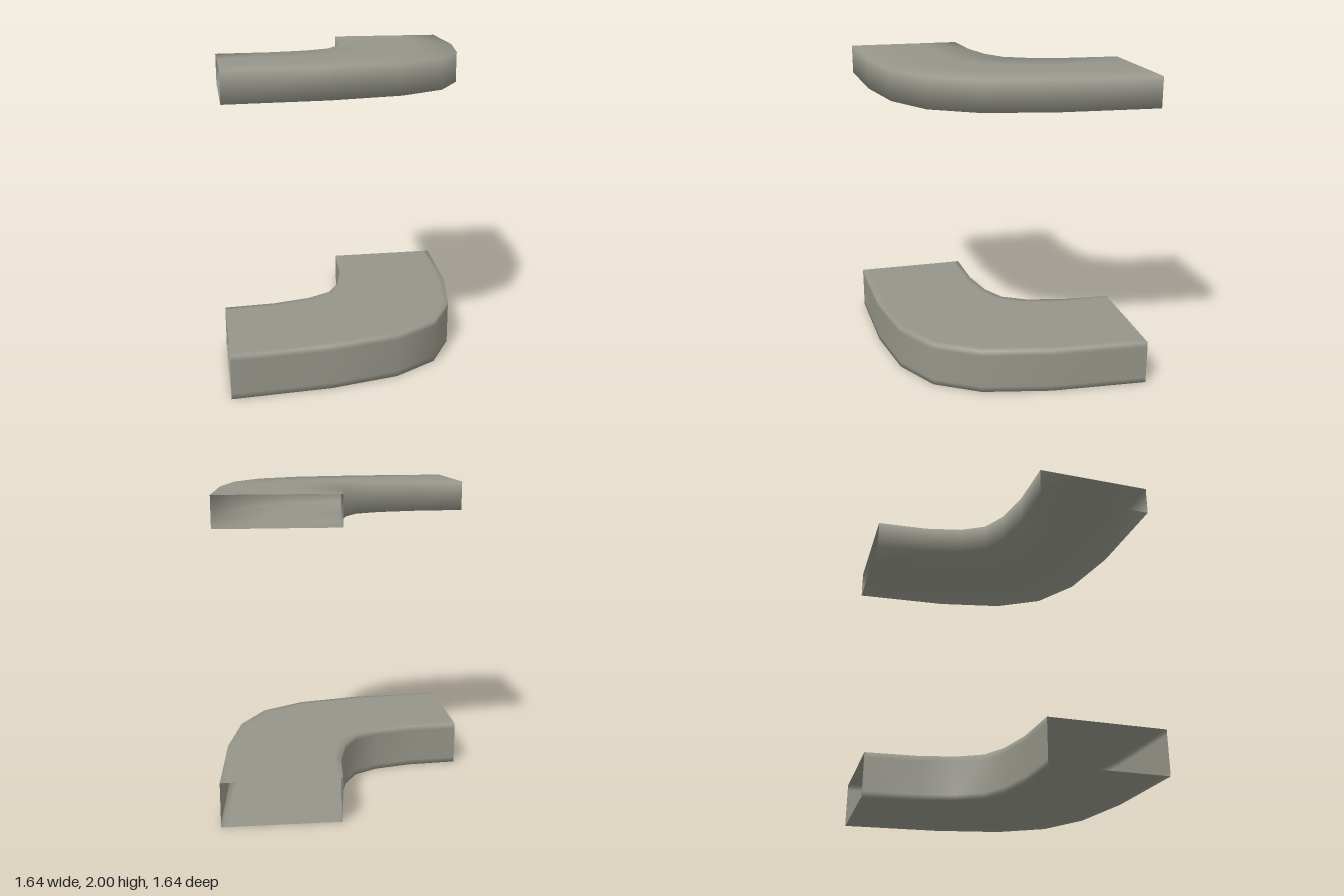
import * as THREE from 'three';

// Plan outline of the quarter bend as [x, z]; the second half mirrors the first across x = z
const mirror = (half) => [...half, ...half.slice(0, -1).reverse().map(([x, z]) => [z, x])];
const OUTER = mirror([[-0.825, 0.82], [-0.2, 0.78], [0.235, 0.69], [0.52, 0.52]]);
const INNER = mirror([[-0.825, 0.075], [-0.49, 0.053], [-0.245, -0.003], [-0.09, -0.09]]);

// Open-ended rectangular duct; section points are [across 0 outer..1 inner, height 0..1]
function duct(section, y0, y1) {
  const positions = [], index = [], n = section.length;
  OUTER.forEach(([ox, oz], i) => {
    const [ix, iz] = INNER[i];
    for (const [u, v] of section) {
      positions.push(ox + (ix - ox) * u, y0 + (y1 - y0) * v, oz + (iz - oz) * u);
    }
  });
  for (let i = 0; i < OUTER.length - 1; i++) {
    for (let j = 0; j < n; j++) {
      const a = i * n + j, d = i * n + (j + 1) % n;
      index.push(a, a + n, d + n, a, d + n, d);
    }
  }
  const geometry = new THREE.BufferGeometry();
  geometry.setAttribute('position', new THREE.Float32BufferAttribute(positions, 3));
  geometry.setIndex(index);
  geometry.computeVertexNormals();
  return geometry;
}

// Rectangle with support points at inset a across and b up the sides
function sectionLoop(a, b) {
  const side = b ? [b, 1 - b] : [];
  return [
    [0, 0], ...side.map((v) => [0, v]),
    [0, 1], [a, 1], [1 - a, 1],
    [1, 1], ...side.map((v) => [1, 1 - v]),
    [1, 0], [1 - a, 0], [a, 0],
  ];
}

export function createModel() {
  const group = new THREE.Group();
  group.name = 'ductBends';
  const metal = new THREE.MeshStandardMaterial({ color: 0x95958a, side: THREE.DoubleSide });
  metal.name = 'warm grey metal';

  // Shallow bend with softly shaded corners
  const upper = new THREE.Mesh(duct(sectionLoop(0.36, 0), 1.81, 2), metal);
  upper.name = 'upperDuctBend';

  // Deeper bend with tight corners
  const lower = new THREE.Mesh(duct(sectionLoop(0.06, 0.12), 0, 0.287), metal);
  lower.name = 'lowerDuctBend';

  group.add(upper, lower);
  return group;
}
